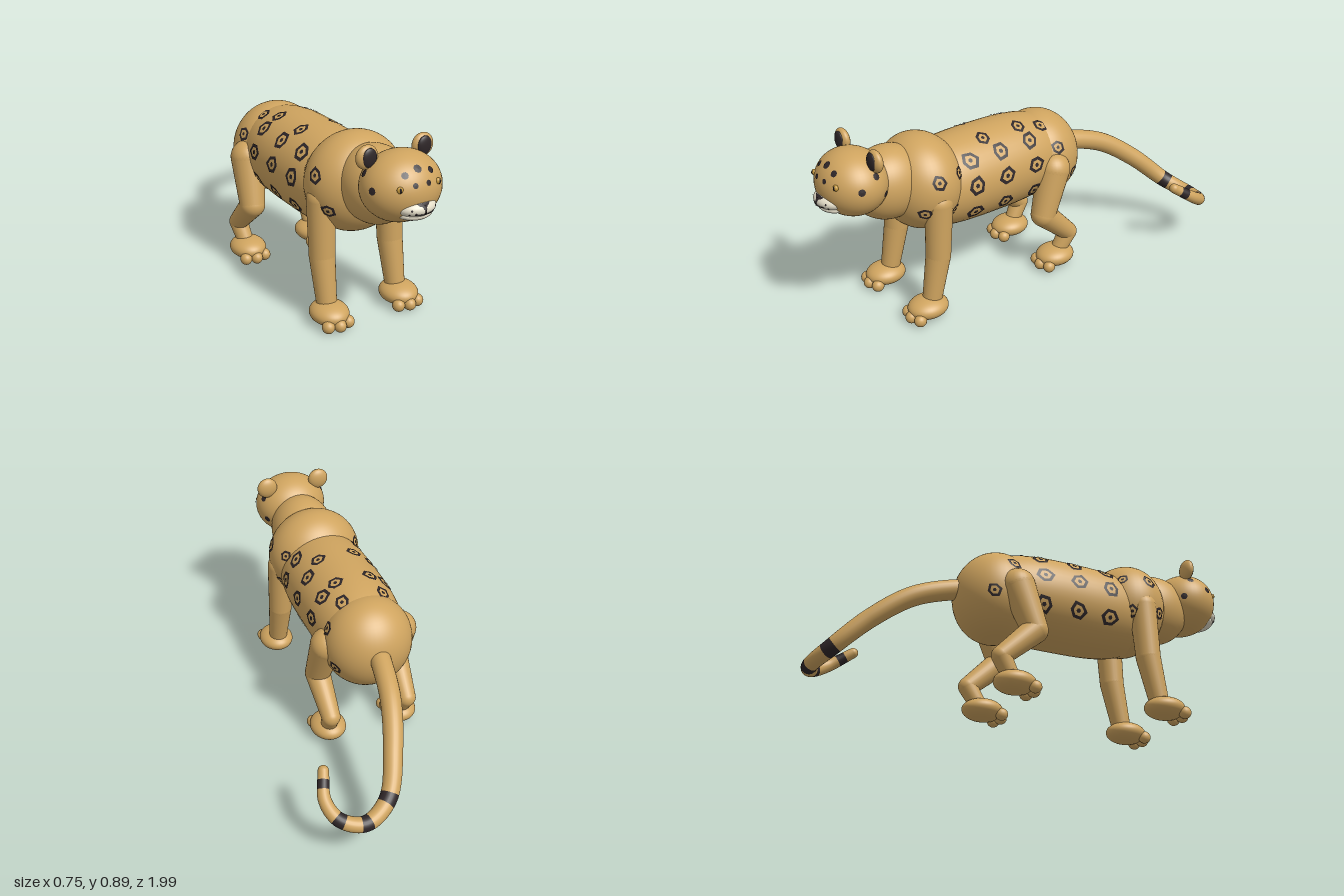
import * as THREE from 'three';

const V = (x, y, z) => new THREE.Vector3(x, y, z);

export function createModel() {
  const model = new THREE.Group();
  model.name = 'spottedBigCat';
  const mat = (name, color) => {
    const m = new THREE.MeshStandardMaterial({ color });
    m.name = name;
    return m;
  };
  const fur = mat('tanFur', 0xcfa45f);
  const dark = mat('darkMarking', 0x2e2628);
  const cream = mat('creamMuzzle', 0xe6dfca);
  const amber = mat('amberEye', 0xc79a3e);

  const add = (name, geo, material) => {
    const m = new THREE.Mesh(geo, material);
    m.name = name;
    model.add(m);
    return m;
  };

  // Ellipsoid part that can also carry surface markings
  const ellipsoid = (name, c, r, material = fur, detail = 40) => {
    const geo = new THREE.SphereGeometry(1, detail, Math.round(detail * 0.7));
    geo.scale(r.x, r.y, r.z).translate(c.x, c.y, c.z);
    add(name, geo, material);
    return {
      normal: (p) => p.clone().sub(c).divide(r).divide(r).normalize(),
      project: (p) => p.clone().sub(c).divide(r).normalize().multiply(r).add(c),
      sideX: (y, z) => r.x * Math.sqrt(Math.max(0, 1 - ((y - c.y) / r.y) ** 2 - ((z - c.z) / r.z) ** 2)),
      frontZ: (x, y) => c.z + r.z * Math.sqrt(Math.max(0, 1 - (x / r.x) ** 2 - ((y - c.y) / r.y) ** 2)),
    };
  };

  // Tapered limb segment with a ball at each end
  const limb = (name, a, b, ra, rb) => {
    const d = b.clone().sub(a);
    const m = add(name, new THREE.CylinderGeometry(rb, ra, d.length(), 28, 1, true), fur);
    m.position.copy(a).addScaledVector(d, 0.5);
    m.quaternion.setFromUnitVectors(V(0, 1, 0), d.normalize());
    ellipsoid(name + 'Start', a, V(ra, ra, ra), fur, 28);
    ellipsoid(name + 'End', b, V(rb, rb, rb), fur, 28);
  };

  // Thin ring or disc laid onto a surface; wobble makes the outline uneven
  const patch = (name, surf, at, rIn, rOut, sides, { spin = 0, wobble = 0, lift = 0.003, sy = 1 } = {}) => {
    const p0 = surf.project(at), n = surf.normal(p0);
    const u = V(0, 1, 0).cross(n).normalize(), v = n.clone().cross(u);
    const pos = [], idx = [];
    for (let i = 0; i < sides; i++) {
      const a = spin + (i / sides) * Math.PI * 2;
      const k = 1 + wobble * Math.sin(i * 2.4 + at.z * 30);
      for (const r of [rIn, rOut]) {
        const q = p0.clone().addScaledVector(u, Math.cos(a) * r * k).addScaledVector(v, Math.sin(a) * r * k * sy);
        const s = surf.project(q);
        s.addScaledVector(surf.normal(s), lift);
        pos.push(s.x, s.y, s.z);
      }
      const j = (i + 1) % sides;
      idx.push(2 * i, 2 * i + 1, 2 * j + 1, 2 * i, 2 * j + 1, 2 * j);
    }
    const geo = new THREE.BufferGeometry();
    geo.setAttribute('position', new THREE.Float32BufferAttribute(pos, 3));
    geo.setIndex(idx);
    geo.computeVertexNormals();
    add(name, geo, dark);
  };
  const rosette = (surf, at, size = 0.044) => {
    patch('rosetteRing', surf, at, size * 0.62, size, 6, { spin: at.y * 9, wobble: 0.12 });
    patch('rosetteDot', surf, at, 0, size * 0.25, 6);
  };

  // Trunk: barrel, chest, neck, hips, head
  const midY = 0.56, midZ = 0.14, half = 0.45;
  const barrelR = (z) => 0.217 * Math.cbrt(Math.max(0, 1 - Math.abs((z - midZ) / half) ** 3));
  const profile = [];
  for (let i = 0; i <= 32; i++) {
    const t = -Math.cos((i / 32) * Math.PI) * half;
    profile.push(new THREE.Vector2(barrelR(midZ + t), t));
  }
  add('torso', new THREE.LatheGeometry(profile, 48).rotateX(Math.PI / 2).translate(0, midY, midZ), fur);
  const torso = {
    normal: (p) => V(p.x, p.y - midY, 0).normalize(),
    project: (p) => {
      const n = V(p.x, p.y - midY, 0).normalize().multiplyScalar(barrelR(p.z));
      return V(n.x, n.y + midY, p.z);
    },
  };
  const chest = ellipsoid('chest', V(0, 0.605, 0.48), V(0.228, 0.225, 0.19), fur, 48);
  ellipsoid('neck', V(0, 0.647, 0.64), V(0.153, 0.172, 0.185), fur, 48);
  const hips = ellipsoid('hips', V(0, 0.538, -0.2), V(0.211, 0.218, 0.194), fur, 48);
  const head = ellipsoid('head', V(0, 0.708, 0.82), V(0.177, 0.15, 0.156), fur, 48);

  // Muzzle, nose, mouth
  ellipsoid('chin', V(0, 0.628, 0.915), V(0.08, 0.028, 0.066), cream);
  const muzzle = ellipsoid('muzzle', V(0, 0.658, 0.918), V(0.091, 0.042, 0.078), cream);
  patch('nose', muzzle, V(0, 0.677, muzzle.frontZ(0, 0.677)), 0, 0.038, 3, { spin: Math.PI / 6, lift: 0.004, sy: 0.65 });
  const mouth = [];
  for (let i = -4; i <= 4; i++) {
    const x = i * 0.011, y = 0.643 + 0.004 * (i / 4) ** 2;
    mouth.push(V(x, y, muzzle.frontZ(x, y)));
  }
  add('mouth', new THREE.TubeGeometry(new THREE.CatmullRomCurve3(mouth), 24, 0.0028, 6), dark);
  add('lipLine', new THREE.BoxGeometry(0.005, 0.02, 0.006).translate(0, 0.654, muzzle.frontZ(0, 0.654)), dark);
  patch('browSpot', head, V(0, 0.815, head.frontZ(0, 0.815)), 0, 0.018, 10);

  for (const s of [1, -1]) {
    // Face details
    for (const [x, y] of [[0.055, 0.664], [0.062, 0.648], [0.04, 0.652]])
      patch('whiskerDot', muzzle, V(s * x, y, muzzle.frontZ(x, y)), 0, 0.0045, 8);
    for (const [x, y, r] of [[0.061, 0.799, 0.015], [0.031, 0.761, 0.012]])
      patch('foreheadSpot', head, V(s * x, y, head.frontZ(x, y)), 0, r, 10);
    for (const [z, y] of [[0.785, 0.777], [0.865, 0.732], [0.743, 0.682]])
      patch('cheekSpot', head, V(s * head.sideX(y, z), y, z), 0, 0.016, 10);
    const ez = head.frontZ(0.092, 0.75);
    ellipsoid('eye', V(s * 0.092, 0.75, ez), V(0.014, 0.014, 0.011), amber, 20);
    ellipsoid('pupil', V(s * 0.094, 0.75, ez + 0.007), V(0.005, 0.011, 0.006), dark, 14);

    // Ears
    ellipsoid('ear', V(s * 0.136, 0.84, 0.775), V(0.051, 0.052, 0.027), fur, 32);
    ellipsoid('innerEar', V(s * 0.134, 0.842, 0.793), V(0.034, 0.041, 0.013), dark, 28);

    // Front legs
    limb('frontUpperLeg', V(s * 0.174, 0.56, 0.49), V(s * 0.177, 0.3, 0.505), 0.064, 0.058);
    limb('frontLowerLeg', V(s * 0.177, 0.3, 0.505), V(s * 0.18, 0.08, 0.55), 0.058, 0.045);

    // Hind legs
    limb('thigh', V(s * 0.18, 0.53, -0.16), V(s * 0.2, 0.315, -0.085), 0.08, 0.06);
    limb('hindShank', V(s * 0.2, 0.315, -0.085), V(s * 0.195, 0.165, -0.245), 0.06, 0.045);
    limb('hindPastern', V(s * 0.195, 0.165, -0.245), V(s * 0.185, 0.07, -0.19), 0.045, 0.038);

    // Paws with three toes
    for (const z of [0.575, -0.175]) {
      ellipsoid('paw', V(s * 0.183, 0.056, z), V(0.085, 0.05, 0.098));
      for (const i of [-1, 0, 1])
        ellipsoid('toe', V(s * 0.183 + i * 0.05, 0.031, z + (i ? 0.075 : 0.09)), V(0.028, 0.029, 0.03), fur, 20);
    }

    // Rosettes on flank, back, chest and hips
    for (const z of [0.303, 0.137, -0.035])
      for (const y of [0.705, 0.6, 0.461]) {
        const R = barrelR(z);
        rosette(torso, V(s * Math.sqrt(R * R - (y - midY) ** 2), y, z));
      }
    for (const [x, z] of [[0.09, 0.185], [0.085, -0.02], [0.1, -0.14]])
      rosette(torso, V(s * x, midY + Math.sqrt(barrelR(z) ** 2 - x * x), z), 0.038);
    for (const [z, y, r] of [[0.507, 0.68, 0.036], [0.383, 0.68, 0.03], [0.571, 0.536, 0.034], [0.42, 0.515, 0.032]])
      rosette(chest, V(s * chest.sideX(y, z), y, z), r);
    for (const [z, y] of [[-0.18, 0.638], [-0.276, 0.483]])
      rosette(hips, V(s * hips.sideX(y, z), y, z), 0.034);
  }

  // Tapered, curled tail with dark bands
  const path = new THREE.CatmullRomCurve3([
    V(0, 0.56, -0.3), V(0.015, 0.55, -0.4), V(0.05, 0.495, -0.58), V(0.11, 0.38, -0.75), V(0.195, 0.24, -0.9),
    V(0.32, 0.195, -0.958), V(0.423, 0.218, -0.92), V(0.458, 0.268, -0.84), V(0.425, 0.338, -0.735),
  ]);
  const rows = 120, sides = 24;
  const tail = new THREE.TubeGeometry(path, rows, 1, sides);
  const tp = tail.attributes.position;
  for (let i = 0; i < tp.count; i++) {
    const t = Math.floor(i / (sides + 1)) / rows;
    const c = path.getPointAt(t);
    const p = V(0, 0, 0).fromBufferAttribute(tp, i).sub(c).multiplyScalar(0.048 - 0.024 * t * t).add(c);
    tp.setXYZ(i, p.x, p.y, p.z);
  }
  const bandAt = [V(0.195, 0.24, -0.9), V(0.32, 0.195, -0.958), V(0.423, 0.218, -0.92), V(0.444, 0.305, -0.785)];
  for (let i = 0; i < rows; i++) {
    const c = path.getPointAt((i + 0.5) / rows);
    const banded = bandAt.some((b) => b.distanceTo(c) < 0.022);
    tail.addGroup(i * sides * 6, sides * 6, banded ? 1 : 0);
  }
  add('tail', tail, [fur, dark]);
  ellipsoid('tailTip', path.getPointAt(1), V(0.024, 0.024, 0.024), fur, 20);

  model.position.x = -0.113;
  const root = new THREE.Group();
  root.add(model);
  return root;
}
